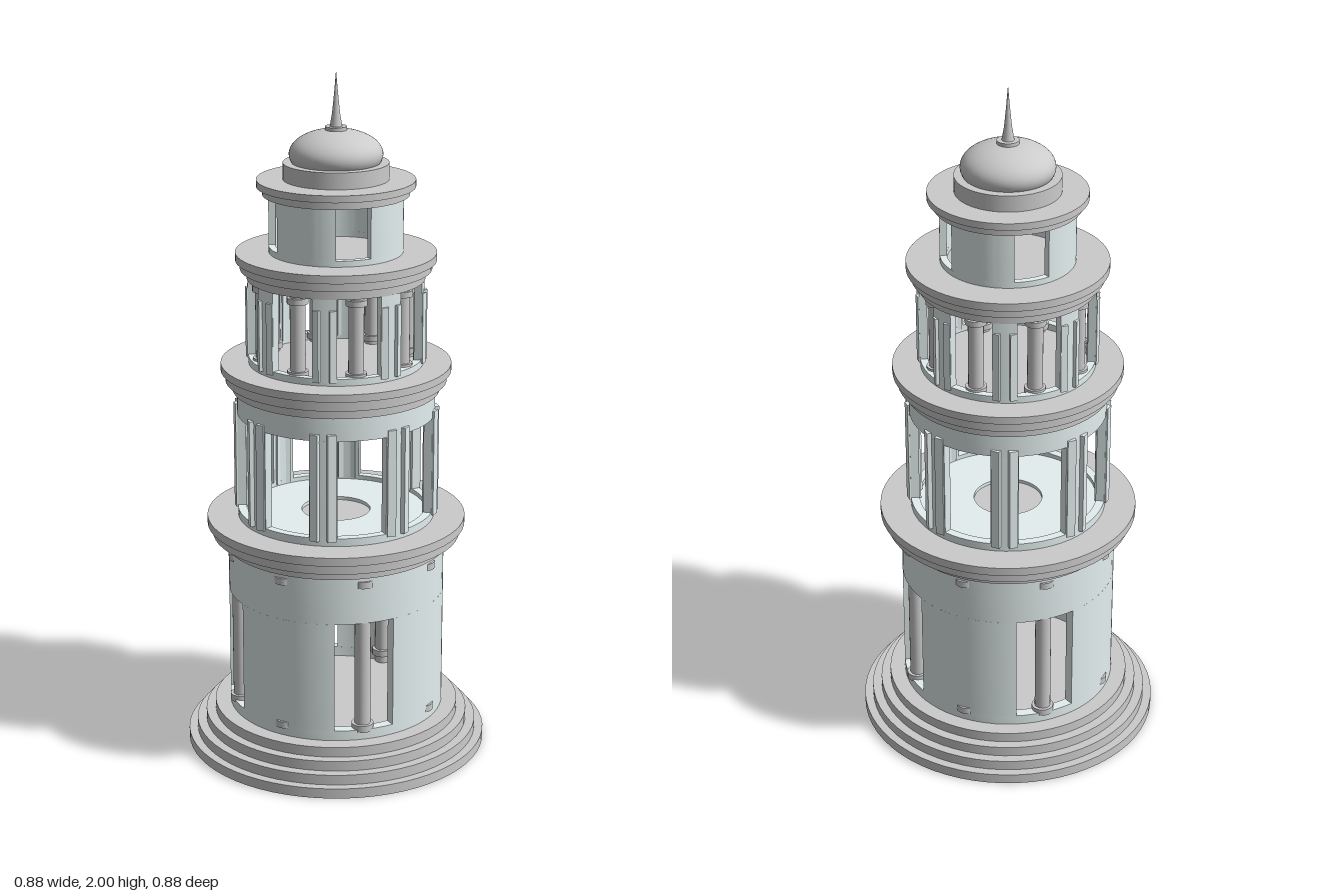
import * as THREE from 'three';
import { toCreasedNormals } from 'three/addons/utils/BufferGeometryUtils.js';

const stone = new THREE.MeshStandardMaterial({ color: 0xcccccc });
const plaster = new THREE.MeshStandardMaterial({ color: 0xe4efef });
const SEG = 64;

function add(parent, name, geometry, material) {
  const mesh = new THREE.Mesh(geometry, material);
  mesh.name = name;
  parent.add(mesh);
  return mesh;
}

// Solid round slab between two heights
function disc(parent, name, r, y0, y1, material = stone) {
  add(parent, name, new THREE.CylinderGeometry(r, r, y1 - y0, SEG), material).position.y = (y0 + y1) / 2;
}

// Upright curved wall piece; omit the angles for a full ring
function wall(parent, name, rOut, rIn, y0, y1, a0, a1) {
  const shape = new THREE.Shape();
  if (a0 === undefined) {
    shape.absarc(0, 0, rOut, 0, Math.PI * 2, false);
    shape.holes.push(new THREE.Path().absarc(0, 0, rIn, 0, Math.PI * 2, true));
  } else {
    shape.absarc(0, 0, rOut, a0, a1, false);
    shape.absarc(0, 0, rIn, a1, a0, true);
    shape.closePath();
  }
  const curveSegments = a0 === undefined ? SEG / 2 : Math.max(4, Math.ceil((a1 - a0) * 10));
  const geo = new THREE.ExtrudeGeometry(shape, { depth: y1 - y0, bevelEnabled: false, curveSegments });
  geo.rotateX(-Math.PI / 2);
  add(parent, name, toCreasedNormals(geo, 0.6), plaster).position.y = y0;
}

// Storey wall: sill ring, piers between the openings, and a band above them
function storey(parent, { r, t, y0, sill, head, y1, count, half }) {
  const step = (Math.PI * 2) / count;
  const gap = Math.asin(half / r);
  wall(parent, 'sillRing', r, r - t, y0, sill);
  for (let i = 0; i < count; i++) {
    wall(parent, 'wallPier', r, r - t, sill, head, i * step + gap, (i + 1) * step - gap);
  }
  if (y1 > head) wall(parent, 'upperBand', r, r - t, head, y1);
}

// Round columns with base and capital, set in a circle
function columns(parent, { ring, r, cap, y0, y1, baseY, capY, capH }) {
  for (let i = 0; i < 8; i++) {
    const column = new THREE.Group();
    column.name = 'column';
    const a = (i * Math.PI) / 4;
    column.position.set(Math.sin(a) * ring, 0, Math.cos(a) * ring);
    parent.add(column);
    const part = (name, rad, lo, hi) => {
      add(column, name, new THREE.CylinderGeometry(rad, rad, hi - lo, 20), stone).position.y = (lo + hi) / 2;
    };
    part('shaft', r, y0, y1);
    part('columnBase', cap, baseY, baseY + capH);
    part('capital', cap, capY, capY + capH);
  }
}

// Upright strips on both sides of each of the eight openings
function jambs(parent, { x, z, w, d, y0, y1 }) {
  for (let i = 0; i < 8; i++) {
    const pair = new THREE.Group();
    pair.name = 'openingJambs';
    pair.rotation.y = (i * Math.PI) / 4;
    parent.add(pair);
    for (const side of [-1, 1]) {
      add(pair, 'jamb', new THREE.BoxGeometry(w, y1 - y0, d), plaster).position.set(side * x, (y0 + y1) / 2, z);
    }
  }
}

export function createModel() {
  const model = new THREE.Group();
  model.name = 'tower';
  const section = (name) => {
    const g = new THREE.Group();
    g.name = name;
    model.add(g);
    return g;
  };
  // Stacked slabs, each given as [radius, bottom, top]
  const slabs = (name, part, list) => {
    const g = section(name);
    for (const [r, y0, y1] of list) disc(g, part, r, y0, y1);
  };

  // Stepped foundation
  slabs('foundation', 'step', [[0.44, 0, 0.03], [0.415, 0.03, 0.06], [0.388, 0.06, 0.09], [0.36, 0.09, 0.12]]);

  // First storey: four tall doorways and a ring of columns
  const first = section('firstStorey');
  storey(first, { r: 0.315, t: 0.03, y0: 0.12, sill: 0.15, head: 0.48, y1: 0.62, count: 4, half: 0.087 });
  columns(first, { ring: 0.29, r: 0.023, cap: 0.032, y0: 0.12, y1: 0.62, baseY: 0.143, capY: 0.587, capH: 0.02 });
  slabs('firstCornice', 'cornice', [[0.325, 0.62, 0.65], [0.36, 0.65, 0.68], [0.375, 0.68, 0.705]]);

  // Second storey: eight openings framed by jambs
  const second = section('secondStorey');
  storey(second, { r: 0.285, t: 0.025, y0: 0.705, sill: 0.728, head: 1.015, y1: 1.085, count: 8, half: 0.0713 });
  wall(second, 'floor', 0.26, 0.1, 0.705, 0.715);
  jambs(second, { x: 0.087, z: 0.262, w: 0.025, d: 0.036, y0: 0.72, y1: 1.035 });
  slabs('secondCornice', 'cornice', [[0.297, 1.085, 1.113], [0.317, 1.113, 1.143], [0.33, 1.143, 1.165]]);

  // Third storey: eight openings with a column in each
  const third = section('thirdStorey');
  storey(third, { r: 0.25, t: 0.022, y0: 1.165, sill: 1.185, head: 1.415, y1: 1.44, count: 8, half: 0.063 });
  columns(third, { ring: 0.213, r: 0.022, cap: 0.03, y0: 1.165, y1: 1.44, baseY: 1.175, capY: 1.385, capH: 0.017 });
  jambs(third, { x: 0.074, z: 0.23, w: 0.02, d: 0.03, y0: 1.175, y1: 1.38 });
  slabs('thirdCornice', 'cornice', [[0.253, 1.412, 1.44], [0.272, 1.44, 1.465], [0.285, 1.465, 1.488]]);

  // Lantern storey: four openings
  const lantern = section('lanternStorey');
  storey(lantern, { r: 0.19, t: 0.02, y0: 1.488, sill: 1.505, head: 1.655, y1: 1.655, count: 4, half: 0.05 });
  slabs('lanternCornice', 'cornice', [[0.207, 1.652, 1.675], [0.224, 1.675, 1.695], [0.149, 1.695, 1.742]]);

  // Dome and spire
  const roof = section('roof');
  const dome = add(roof, 'dome', new THREE.SphereGeometry(0.132, 48, 24), stone);
  dome.scale.y = 0.53;
  dome.position.y = 1.765;
  disc(roof, 'finialDisc', 0.031, 1.825, 1.843);
  const spire = [[0.018, 1.84], [0.011, 1.88], [0.005, 1.94], [0, 2]].map(([x, y]) => new THREE.Vector2(x, y));
  add(roof, 'spire', new THREE.LatheGeometry(spire, 24), stone);

  return model;
}
